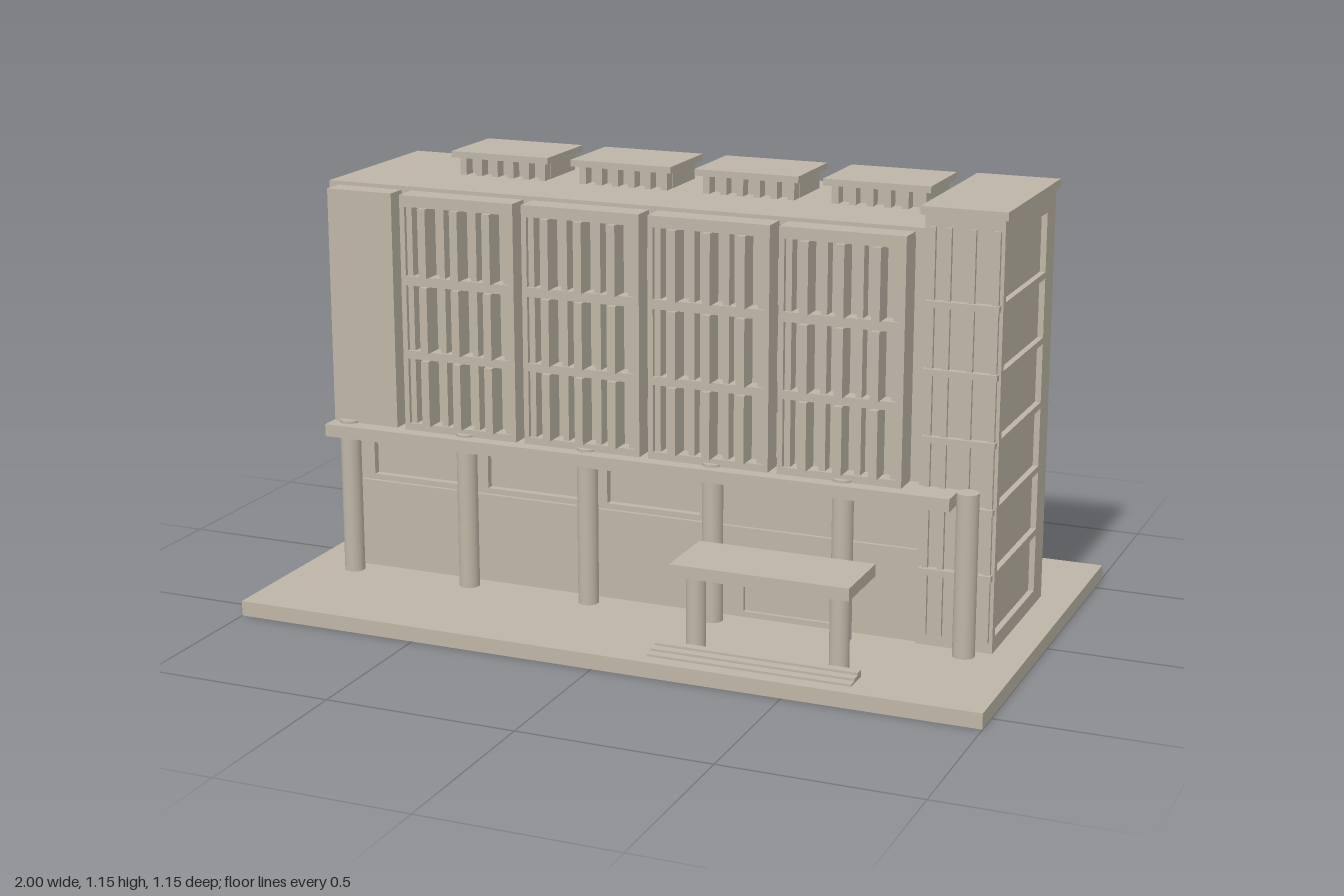
import * as THREE from 'three';

export function createModel() {
  const model = new THREE.Group();
  const stone = new THREE.MeshStandardMaterial({ color: 0xbdb5a6 });
  stone.name = 'warm grey stone';

  function add(name, geometry, parent = model) {
    const mesh = new THREE.Mesh(geometry, stone);
    mesh.name = name;
    parent.add(mesh);
    return mesh;
  }
  function box(name, x0, x1, y0, y1, z0, z1, parent) {
    const g = new THREE.BoxGeometry(x1 - x0, y1 - y0, z1 - z0);
    g.translate((x0 + x1) / 2, (y0 + y1) / 2, (z0 + z1) / 2);
    return add(name, g, parent);
  }
  function column(name, x, z, r, y0, y1) {
    const g = new THREE.CylinderGeometry(r, r, y1 - y0, 24);
    g.translate(x, (y0 + y1) / 2, z);
    return add(name, g);
  }
  // Wall with rectangular openings [u0, u1, v0, v1], extruded from d0 to d1
  function pierced(u0, u1, v0, v1, holes, d0, d1) {
    const rect = (p, a, b, c, d) => p.moveTo(a, c).lineTo(b, c).lineTo(b, d).lineTo(a, d).closePath();
    const shape = rect(new THREE.Shape(), u0, u1, v0, v1);
    for (const h of holes) shape.holes.push(rect(new THREE.Path(), ...h));
    const g = new THREE.ExtrudeGeometry(shape, { depth: d1 - d0, bevelEnabled: false });
    return g.translate(0, 0, d0);
  }

  // Ground slab
  box('base', -1, 1, 0, 0.04, -0.573, 0.573);

  // Main block: core, front wall with ground floor windows, left end wall with small windows
  box('mainBlock', -0.905, 0.78, 0.04, 1.075, -0.303, 0.15);
  add('frontWall', pierced(-0.905, 0.72, 0.04, 1.075, [
    [-0.82, -0.54, 0.295, 0.385], [-0.48, -0.195, 0.295, 0.385], [-0.135, 0.125, 0.295, 0.385],
  ], 0.15, 0.17));
  const smallRows = [[0.88, 0.995], [0.685, 0.8], [0.49, 0.605]];
  add('leftEndWall', pierced(-0.17, 0.303, 0.04, 1.075,
    smallRows.map(([a, b]) => [-0.11, -0.01, a, b]), -0.92, -0.905).rotateY(Math.PI / 2));
  box('roofSlab', -0.927, 0.785, 1.07, 1.09, -0.313, 0.176);
  box('leftFrontPanel', -0.9, -0.712, 0.45, 1.08, 0.16, 0.235);

  // Plinth with a shallow doorway
  add('plinth', pierced(-0.905, 0.72, 0.04, 0.28, [[0.25, 0.54, 0.055, 0.22]], 0.17, 0.18));

  // Four window bays and their roof lanterns
  const rows = [[0.868, 1.05], [0.669, 0.843], [0.472, 0.647]];
  for (let i = 0; i < 4; i++) {
    const cx = -0.522 + i * 0.348;
    const bay = new THREE.Group();
    bay.name = 'windowBay';
    bay.position.x = cx;
    model.add(bay);
    box('bayBack', -0.162, 0.162, 0.45, 1.08, 0.16, 0.2, bay);
    add('bayFrame', pierced(-0.162, 0.162, 0.45, 1.08,
      rows.map(([a, b]) => [-0.148, 0.148, a, b]), 0.2, 0.242), bay);
    for (const [y0, y1] of rows)
      for (let k = 0; k < 7; k++) {
        const x = -0.138 + k * 0.046, proud = k % 2 === 1;
        const w = proud ? 0.011 : 0.008;
        box(proud ? 'fin' : 'mullion', x - w, x + w, y0, y1, 0.195, proud ? 0.257 : 0.235, bay);
      }
    for (const [y0, y1] of smallRows)
      box('baySideWindow', -0.17, -0.162, y0, y1, 0.185, 0.225, bay);

    const lantern = new THREE.Group();
    lantern.name = 'roofLantern';
    lantern.position.x = cx;
    model.add(lantern);
    box('lanternBody', -0.125, 0.125, 1.085, 1.14, -0.215, -0.065, lantern);
    box('lanternCap', -0.141, 0.141, 1.138, 1.155, -0.23, -0.012, lantern);
    for (let k = 0; k < 6; k++) {
      const x = -0.115 + k * 0.046;
      box('lanternPost', x - 0.009, x + 0.009, 1.085, 1.14, -0.07, -0.03, lantern);
    }
  }

  // Stair tower: six recessed panels on its right side
  box('tower', 0.714, 0.897, 0.04, 1.13, -0.267, 0.193);
  const panels = [];
  for (let i = 0; i < 6; i++) panels.push([-0.172, 0.19, 0.08 + i * 0.169, 0.232 + i * 0.169]);
  add('towerSide', pierced(-0.193, 0.267, 0.04, 1.13, panels, 0.897, 0.912).rotateY(Math.PI / 2));
  box('towerCap', 0.703, 0.92, 1.127, 1.148, -0.276, 0.2);

  // Lattice on the tower front
  for (const x of [0.735, 0.775, 0.835, 0.895])
    box('towerMullion', x - 0.008, x + 0.008, 0.07, 1.1, 0.19, 0.203);
  for (let i = 0; i < 5; i++) {
    const y = 0.237 + i * 0.169;
    box('towerRail', 0.722, 0.907, y - 0.008, y + 0.008, 0.19, 0.211);
  }

  // Long canopy on round columns
  box('canopy', -0.905, 0.818, 0.42, 0.453, 0.16, 0.28);
  for (let i = 0; i < 5; i++) column('canopyColumn', -0.857 + i * 0.347, 0.23, 0.027, 0.04, 0.46);
  column('cornerColumn', 0.85, 0.23, 0.028, 0.04, 0.46);

  // Entrance porch and steps
  box('porchRoof', 0.165, 0.632, 0.23, 0.262, 0.27, 0.468);
  for (const x of [0.222, 0.597]) column('porchColumn', x, 0.431, 0.025, 0.04, 0.232);
  for (let i = 0; i < 3; i++)
    box('step', 0.133, 0.663, 0.04, 0.058 - i * 0.006, 0.46 + i * 0.0245, 0.4845 + i * 0.0245);

  return model;
}
